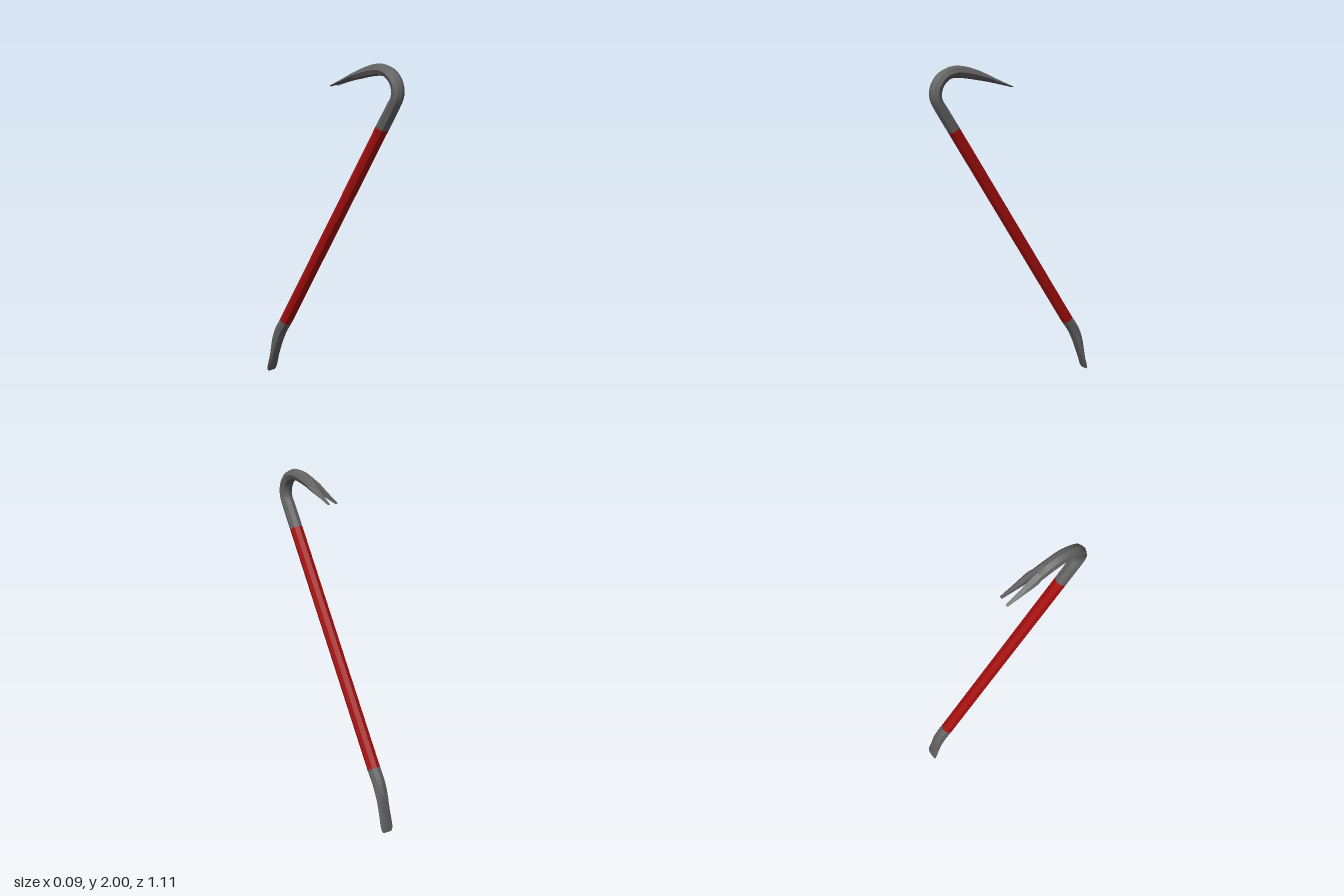
import * as THREE from 'three';
import { toCreasedNormals } from 'three/addons/utils/BufferGeometryUtils.js';

const steel = new THREE.MeshStandardMaterial({ color: 0x626262 });
steel.name = 'bare steel';
const paint = new THREE.MeshStandardMaterial({ color: 0xa40e0e });
paint.name = 'red paint';

// Section points [u, v]: u runs across the bar, v from the inner (-1) to the outer (+1) edge
const ring = (from, to, count) => Array.from({ length: count }, (_, i) => {
  const a = THREE.MathUtils.lerp(from, to, i / (count - 1));
  return [Math.cos(a), Math.sin(a)];
});
const octagon = ring(0, Math.PI * 1.75, 8);
const leftHalf = ring(-Math.PI / 2, Math.PI / 2, 5);
const rightHalf = leftHalf.map(([u, v]) => [-u, v]).reverse();

// Skins a section along stations [outerZ, outerY, innerZ, innerY, outerX, innerX]
function loft(name, material, section, stations, steps = 4) {
  const outer = new THREE.CatmullRomCurve3(stations.map(s => new THREE.Vector3(s[4], s[1], s[0])));
  const inner = new THREE.CatmullRomCurve3(stations.map(s => new THREE.Vector3(s[5] || 0, s[3], s[2])));
  const n = section.length, rows = (stations.length - 1) * steps;
  const positions = [], index = [];
  for (let i = 0; i <= rows; i++) {
    const o = outer.getPoint(i / rows), c = inner.getPoint(i / rows);
    for (const [u, v] of section) {
      const k = (v + 1) / 2;
      const x = Math.sign(u) * (Math.abs(u) < 1e-6 ? 0 : 1) * c.x + u * (o.x - c.x);
      // the flat inner wall of a half section sits at the notch edge
      const wall = Math.abs(u) < 1e-6 && n === 5 ? (section === leftHalf ? c.x : -c.x) : x;
      positions.push(wall, c.y + (o.y - c.y) * k, c.z + (o.z - c.z) * k);
    }
  }
  for (let i = 0; i < rows; i++) {
    for (let j = 0; j < n; j++) {
      const a = i * n + j, d = i * n + (j + 1) % n;
      index.push(a, a + n, d + n, a, d + n, d);
    }
  }
  // End caps
  for (let j = 1; j < n - 1; j++) {
    const e = rows * n;
    index.push(0, j, j + 1, e, e + j + 1, e + j);
  }
  const geometry = new THREE.BufferGeometry();
  geometry.setAttribute('position', new THREE.Float32BufferAttribute(positions, 3));
  geometry.setIndex(index);
  const mesh = new THREE.Mesh(toCreasedNormals(geometry, 0.6), material);
  mesh.name = name;
  return mesh;
}

export function createModel() {
  const group = new THREE.Group();
  group.name = 'crowbar';
  const w = 0.04;
  const shaftFoot = [-0.38, 0.335, -0.445, 0.372, w];
  const shaftHead = [0.437, 1.62, 0.372, 1.657, w];

  // Flattened, slightly bent prying end
  group.add(loft('chiselEnd', steel, octagon, [
    [-0.552, 0, -0.555, 0.002, 0.028],
    [-0.545, 0.018, -0.553, 0.02, 0.039],
    [-0.503, 0.115, -0.537, 0.125, w],
    [-0.468, 0.195, -0.52, 0.225, w],
    [-0.43, 0.265, -0.492, 0.3, w],
    shaftFoot,
  ]));

  // Straight painted bar
  group.add(loft('shaft', paint, octagon, [shaftFoot, shaftHead], 1));

  // Curved neck up to the fork
  const forkRoot = [0.235, 1.963, 0.235, 1.905, 0.041];
  group.add(loft('hook', steel, octagon, [
    shaftHead,
    [0.52, 1.752, 0.455, 1.785, w],
    [0.549, 1.81, 0.48, 1.82, w],
    [0.555, 1.86, 0.484, 1.853, w],
    [0.538, 1.917, 0.474, 1.886, w],
    [0.495, 1.967, 0.45, 1.913, w],
    [0.445, 1.992, 0.418, 1.928, w],
    [0.385, 2, 0.38, 1.931, w],
    [0.31, 1.988, 0.305, 1.92, w],
    forkRoot,
  ]));

  // Two tapering prongs with a V notch between them
  const prong = [
    forkRoot,
    [0.2, 1.947, 0.2, 1.898, 0.046, 0.003],
    [0.12, 1.907, 0.12, 1.878, 0.042, 0.01],
    [0.018, 1.858, 0.018, 1.85, 0.037, 0.021],
  ];
  group.add(loft('leftProng', steel, leftHalf, prong));
  group.add(loft('rightProng', steel, rightHalf, prong));
  return group;
}
